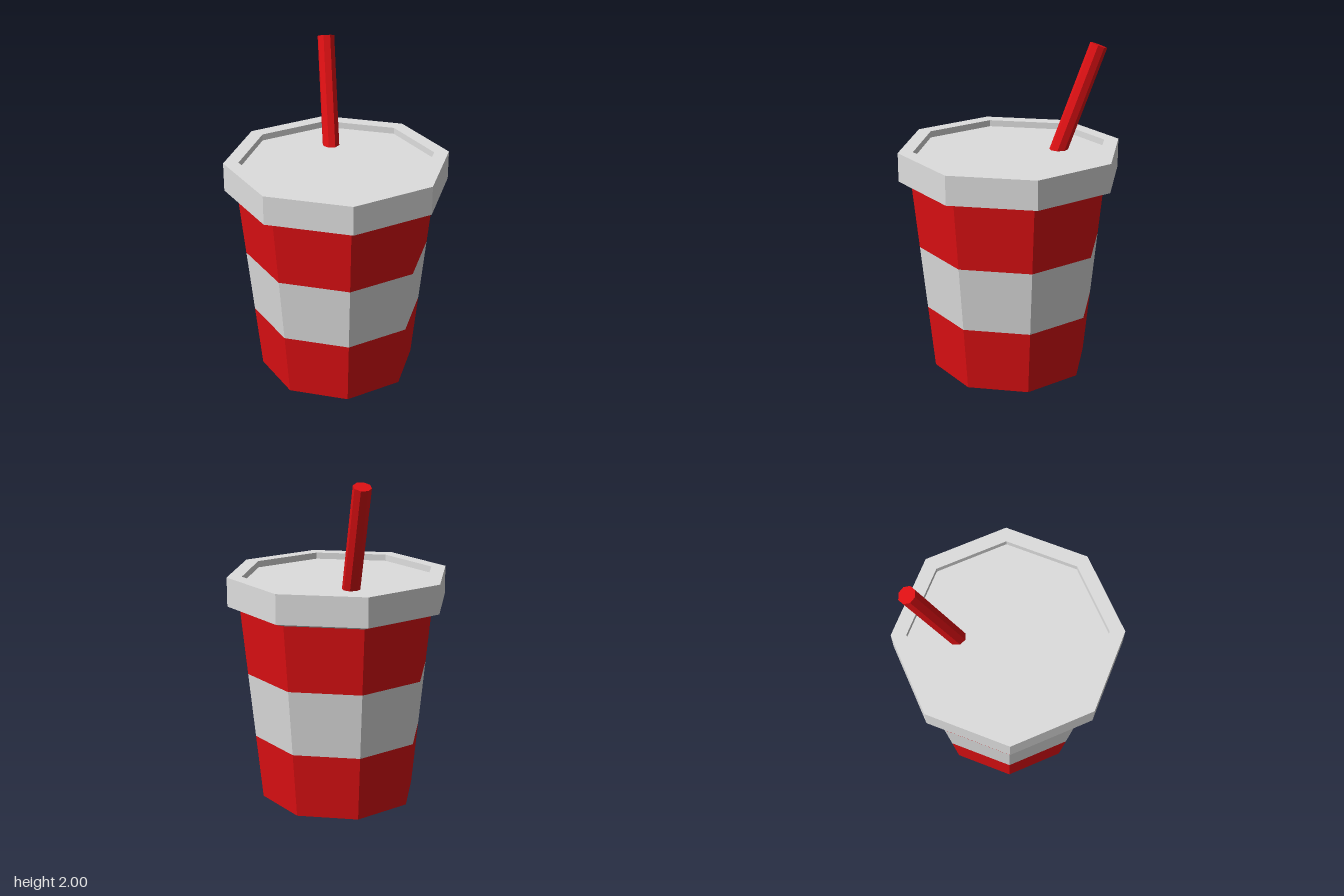
import * as THREE from 'three';

const SIDES = 8;

function material(name, color) {
  const m = new THREE.MeshStandardMaterial({ color, flatShading: true });
  m.name = name;
  return m;
}

// Octagonal surface of revolution from [radius, height] pairs, bottom to top
function turned(name, profile, mat) {
  const points = profile.map(([r, y]) => new THREE.Vector2(r, y));
  const mesh = new THREE.Mesh(new THREE.LatheGeometry(points, SIDES), mat);
  mesh.name = name;
  return mesh;
}

export function createModel() {
  const red = material('red', 0xde1013);
  const paleGrey = material('pale grey', 0xdedede);
  const group = new THREE.Group();
  group.name = 'drinkCup';

  // Tapered cup in three bands
  const radiusAt = (y) => 0.48 + 0.1 * y;
  const band = (y) => [radiusAt(y), y];
  group.add(turned('cupBase', [[0, 0], band(0), band(0.4)], red));
  group.add(turned('cupStripe', [band(0.4), band(0.8)], paleGrey));
  group.add(turned('cupTop', [band(0.8), band(1.2)], red));

  // Lid with bevelled underside, raised rim and sunken top
  group.add(turned('lid', [
    [0.6, 1.2], [0.675, 1.225], [0.675, 1.4],
    [0.585, 1.4], [0.585, 1.36], [0, 1.36],
  ], paleGrey));

  // Straw leaning backwards out of the lid
  const bottom = new THREE.Vector3(0, 1.33, -0.288);
  const top = new THREE.Vector3(0, 1.982, -0.534);
  const axis = top.clone().sub(bottom);
  const strawGeometry = new THREE.CylinderGeometry(0.053, 0.053, axis.length(), SIDES);
  strawGeometry.rotateY(Math.PI / SIDES);
  const straw = new THREE.Mesh(strawGeometry, red);
  straw.name = 'straw';
  straw.position.copy(bottom).add(top).multiplyScalar(0.5);
  straw.rotation.x = Math.atan2(axis.z, axis.y);
  group.add(straw);

  return group;
}
